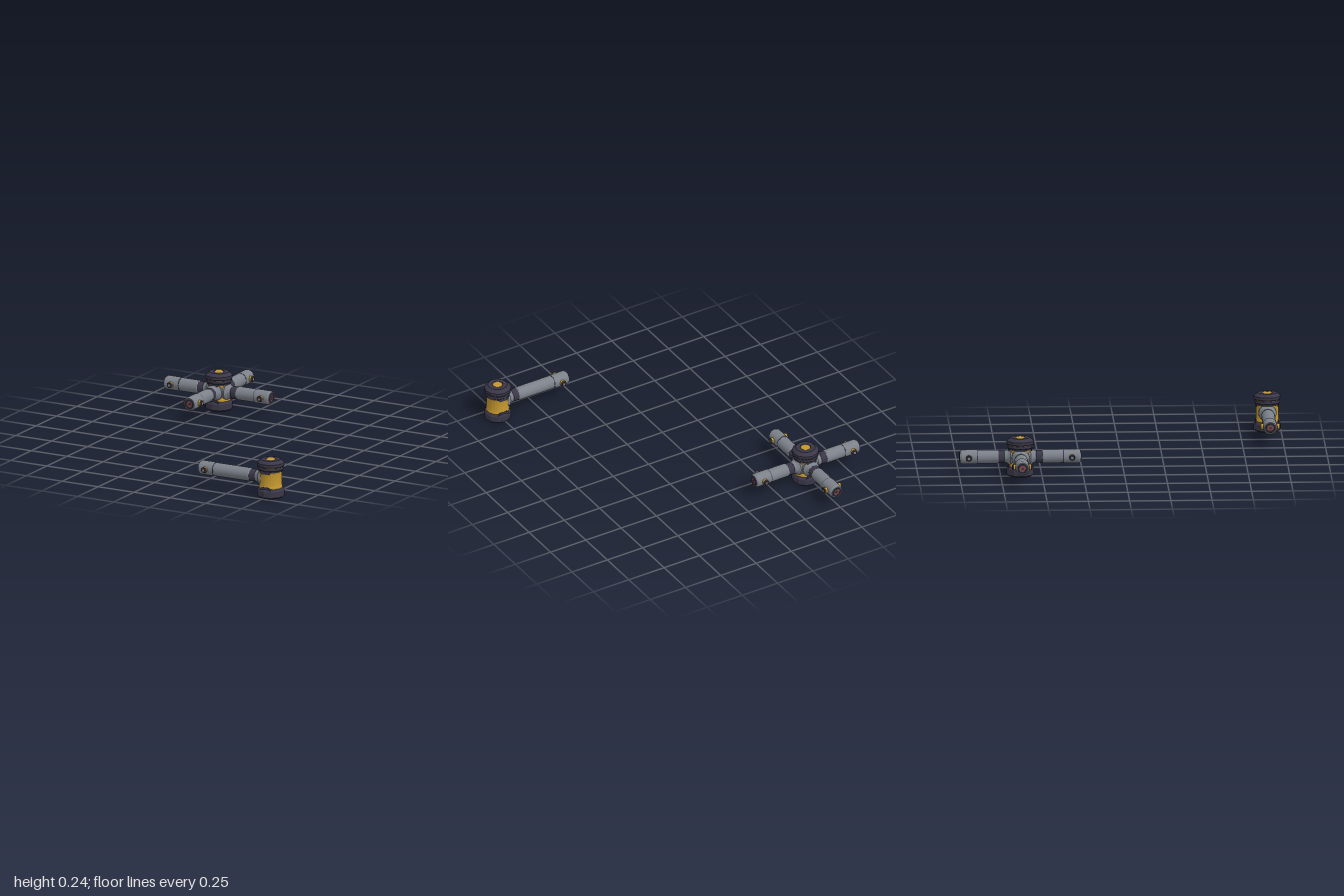
import * as THREE from 'three';
import { toCreasedNormals } from 'three/addons/utils/BufferGeometryUtils.js';

const mat = (color) => new THREE.MeshStandardMaterial({ color });
const grey = mat(0x7c818a), dark = mat(0x393748), gold = mat(0xc4982f), red = mat(0x8a4440);
const MID = 0.117; // height of the arm axis

// Turned part from [radius, height] pairs, bottom to top, with crisp edges
function turned(name, material, profile, sides = 24) {
  const pts = profile.map(([r, y]) => new THREE.Vector2(r, y));
  const mesh = new THREE.Mesh(toCreasedNormals(new THREE.LatheGeometry(pts, sides), 0.4), material);
  mesh.name = name;
  return mesh;
}

// Arm built along +y, then laid down along +x
function makeArm(length) {
  const arm = new THREE.Group();
  arm.name = 'arm';
  const tip = length - 0.108;
  arm.add(
    turned('socketFlare', grey, [[0, 0.02], [0.056, 0.02], [0.054, 0.062], [0.04, 0.078], [0.034, 0.1], [0, 0.1]]),
    turned('collar', dark, [[0, 0.094], [0.034, 0.094], [0.038, 0.1], [0.038, 0.132], [0.034, 0.138], [0, 0.138]]),
    turned('tube', grey, [[0, 0.132], [0.037, 0.132], [0.041, 0.138], [0.041, tip], [0, tip]]),
    turned('seam', dark, [[0, tip - 0.002], [0.0418, tip - 0.002], [0.0418, tip + 0.003], [0, tip + 0.003]]),
    turned('endSleeve', grey, [[0, tip + 0.002], [0.043, tip + 0.002], [0.043, length - 0.014],
      [0.036, length - 0.003], [0.031, length - 0.003], [0.03, length - 0.01], [0, length - 0.01]]),
    turned('endPlug', dark, [[0, length - 0.02], [0.03, length - 0.02], [0.03, length - 0.004],
      [0.026, length], [0.019, length], [0.019, length - 0.006], [0, length - 0.006]]),
    turned('endInsert', red, [[0, length - 0.01], [0.019, length - 0.01], [0.019, length - 0.003], [0, length - 0.003]]),
    turned('endBolt', dark, [[0, length - 0.006], [0.009, length - 0.006], [0.009, length - 0.001], [0, length - 0.001]], 12)
  );
  // Cross pin through the end sleeve
  const pin = new THREE.Group();
  pin.name = 'crossPin';
  pin.add(turned('pinShaft', gold, [[0, -0.058], [0.018, -0.058], [0.018, 0.058], [0, 0.058]], 16));
  for (const s of [-1, 1]) {
    const head = turned('pinHead', dark, [[0, 0.052], [0.0185, 0.052], [0.0185, 0.056], [0.014, 0.062], [0, 0.062]], 16);
    const dot = turned('pinCentre', grey, [[0, 0.06], [0.007, 0.06], [0.007, 0.063], [0, 0.063]], 12);
    if (s < 0) head.rotation.x = dot.rotation.x = Math.PI;
    pin.add(head, dot);
  }
  pin.rotation.x = Math.PI / 2;
  pin.position.y = length - 0.056;
  arm.add(pin);
  arm.rotation.z = -Math.PI / 2;
  const pivot = new THREE.Group();
  pivot.name = 'armPivot';
  pivot.position.y = MID;
  pivot.add(arm);
  return pivot;
}

// Upright hub with two caps; arms are placed at the given headings
function makeConnector(name, length, headings) {
  const hub = new THREE.Group();
  hub.name = name;
  hub.add(
    turned('bottomCap', dark, [[0, 0], [0.073, 0], [0.083, 0.009], [0.083, 0.044], [0.077, 0.056], [0.07, 0.062], [0, 0.062]], 12),
    turned('body', gold, [[0.071, 0.055], [0.071, 0.07], [0.068, 0.078], [0.068, 0.154], [0.071, 0.162], [0.071, 0.18]]),
    turned('bodyTrim', dark, [[0.066, 0.16], [0.073, 0.163], [0.073, 0.172], [0.06, 0.172]]),
    turned('capNeck', dark, [[0, 0.17], [0.073, 0.17], [0.079, 0.176], [0.079, 0.192], [0, 0.192]], 12),
    turned('capBand', gold, [[0, 0.19], [0.076, 0.19], [0.076, 0.197], [0, 0.197]], 12),
    turned('topCap', dark, [[0, 0.195], [0.08, 0.195], [0.083, 0.199], [0.083, 0.216], [0.06, 0.235], [0.033, 0.235],
      [0.031, 0.231], [0, 0.231]], 12),
    turned('capButton', gold, [[0, 0.228], [0.029, 0.228], [0.029, 0.234], [0.026, 0.236], [0, 0.236]])
  );
  // Tapered tabs of the caps reaching onto the body, front and back
  const tab = new THREE.Shape([[-0.038, 0.02], [-0.024, 0], [0.024, 0], [0.038, 0.02]].map(([x, y]) => new THREE.Vector2(x, y)));
  const tabGeo = new THREE.ExtrudeGeometry(tab, { depth: 0.022, bevelEnabled: false });
  for (const turn of [0, Math.PI]) for (const low of [0, 1]) {
    const holder = new THREE.Group();
    holder.name = 'capTab';
    const mesh = new THREE.Mesh(tabGeo, dark);
    mesh.name = 'tab';
    mesh.position.set(0, low ? 0.072 : 0.152, low ? 0.071 : 0.049);
    if (low) mesh.rotation.x = Math.PI;
    holder.add(mesh);
    holder.rotation.y = turn;
    hub.add(holder);
  }
  for (const heading of headings) {
    const arm = makeArm(length);
    arm.rotation.y = heading;
    hub.add(arm);
  }
  return hub;
}

export function createModel() {
  const model = new THREE.Group();
  model.name = 'pipeConnectors';
  const cross = makeConnector('crossConnector', 0.369, [0, 1, 2, 3].map((i) => i * Math.PI / 2));
  cross.position.set(-0.477, 0, -0.631);
  const single = makeConnector('singleConnector', 0.491, [Math.PI]);
  single.position.set(0.763, 0, 0.917);
  model.add(cross, single);
  return model;
}
